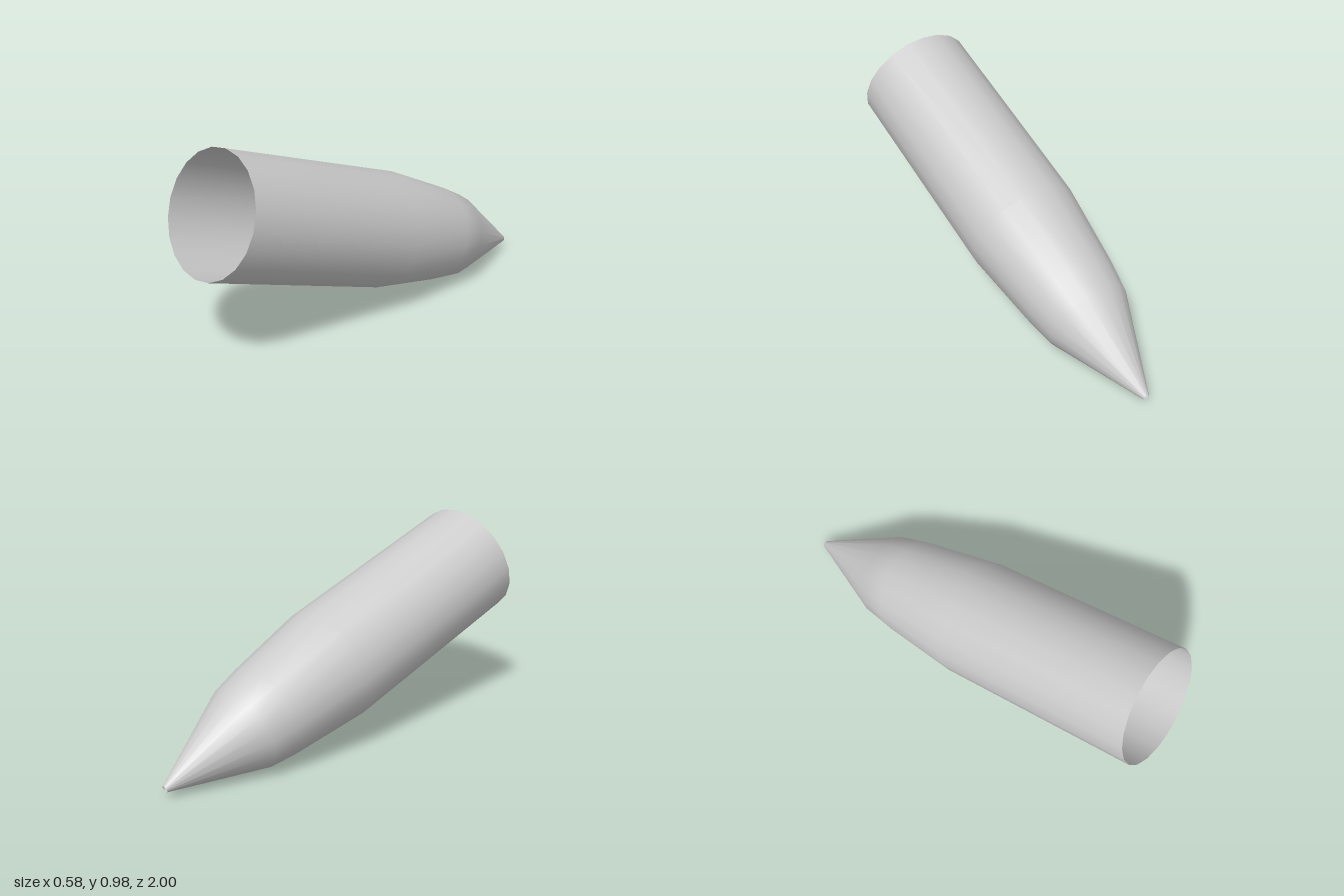
import * as THREE from 'three';

export function createModel() {
  const group = new THREE.Group();
  group.name = 'hollowPointedShell';

  // Profile from the open rim to the narrow tip: [radius, distance along axis]
  const profile = [
    [0.281, 0], [0.28, 1.02], [0.233, 1.42], [0.208, 1.56], [0.016, 2.013],
  ].map(([r, d]) => new THREE.Vector2(r, d));

  // Thin 20-sided shell, lying along -z before it is tilted
  const geometry = new THREE.LatheGeometry(profile, 20);
  geometry.rotateX(-Math.PI / 2);

  const material = new THREE.MeshStandardMaterial({ color: 0xcccccc, side: THREE.DoubleSide });
  const shell = new THREE.Mesh(geometry, material);
  shell.name = 'shell';

  // Tip points backward and down, turned slightly to the side
  shell.rotation.set(-Math.atan2(0.67, 1.895), 0.0237, 0, 'YXZ');
  shell.position.set(0.01, 0.72, 0.905);
  group.add(shell);

  return group;
}
